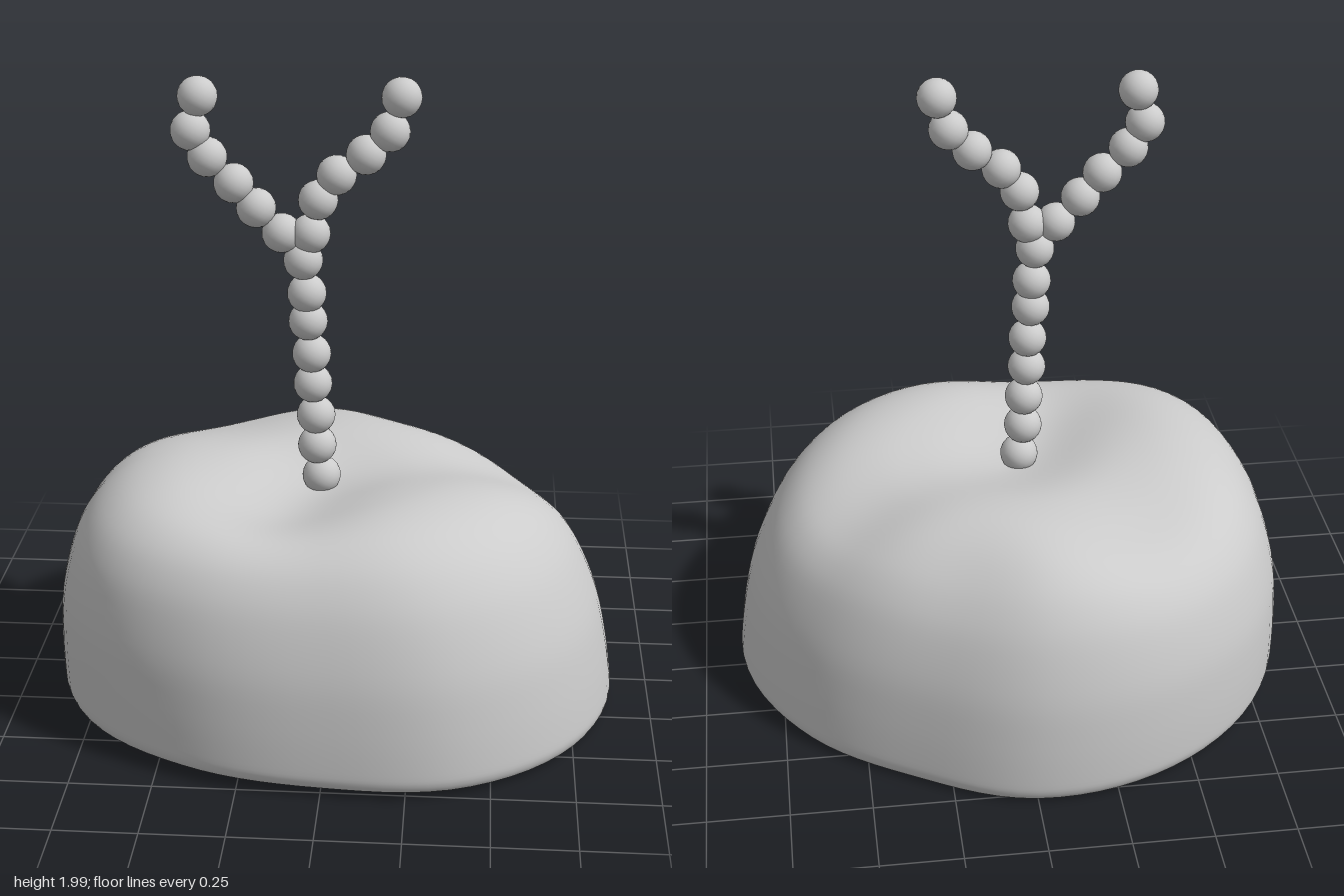
import * as THREE from 'three';
import { mergeVertices } from 'three/addons/utils/BufferGeometryUtils.js';

const material = new THREE.MeshStandardMaterial({ color: 0xcccccc });

// Plan outline: radius every 30 degrees, from +x towards +z
const radii = [0.88, 0.895, 0.86, 0.785, 0.81, 0.875, 0.875, 0.865, 0.83, 0.795, 0.742, 0.80];
const outline = new THREE.CatmullRomCurve3(
  radii.map((r) => new THREE.Vector3(r, 0, 0)), true, 'catmullrom', 0.5);
const radiusAt = (angle) => {
  const turn = angle / (2 * Math.PI);
  return outline.getPoint(turn - Math.floor(turn)).x;
};

// Hollows pressed into the top: x, z, depth, spread
const hollows = [
  [-0.05, 0.03, 0.06, 0.15],
  [-0.15, 0.33, 0.075, 0.17],
  [0.56, -0.18, 0.09, 0.18],
  [0.25, -0.03, 0.03, 0.16],
  [0.25, -0.62, 0.06, 0.16],
  [-0.4, -0.44, 0.065, 0.2],
];

function createBody() {
  // Side wall and rounded shoulder as fraction of radius against height
  const side = new THREE.SplineCurve([
    [0.985, 0.008], [0.997, 0.03], [1, 0.07], [0.99, 0.2], [0.965, 0.35], [0.91, 0.5], [0.85, 0.6],
    [0.77, 0.68], [0.66, 0.74], [0.52, 0.772], [0.35, 0.778], [0.17, 0.775], [0, 0.775],
  ].map(([r, h]) => new THREE.Vector2(r, h)));
  const profile = [new THREE.Vector2(0, 0), new THREE.Vector2(0.5, 0), new THREE.Vector2(0.9, 0),
    new THREE.Vector2(0.965, 0.002), ...side.getPoints(48)];
  profile[profile.length - 1].x = 0;

  let geometry = new THREE.LatheGeometry(profile, 80);
  const pos = geometry.attributes.position;
  for (let i = 0; i < pos.count; i++) {
    const f = Math.hypot(pos.getX(i), pos.getZ(i));
    const angle = Math.atan2(pos.getZ(i), pos.getX(i));
    const h = pos.getY(i) / 0.775;
    // Fuller shoulders at the two front corners
    const shoulder = 0.1 * Math.exp(-(((angle - 2.4) / 0.45) ** 2))
      + 0.03 * Math.exp(-(((angle - 0.8) / 0.45) ** 2));
    const r = f * radiusAt(angle) * (1 + shoulder * h * h);
    // Lean the upper part towards -x
    const x = r * Math.cos(angle) - 0.057 * h * Math.min(1, f * 2);
    const z = r * Math.sin(angle);
    let y = pos.getY(i);
    for (const [hx, hz, depth, spread] of hollows) {
      const d2 = (x - hx) ** 2 + (z - hz) ** 2;
      y -= depth * h ** 3 * Math.exp(-d2 / (2 * spread * spread));
    }
    // Slightly tilted underside
    y += (0.02 - 0.013 * x + 0.013 * z) * (1 - h);
    pos.setXYZ(i, x, y, z);
  }
  // Weld the seam and poles for continuous shading
  geometry.deleteAttribute('uv');
  geometry.deleteAttribute('normal');
  geometry = mergeVertices(geometry, 1e-5);
  geometry.computeVertexNormals();
  const body = new THREE.Mesh(geometry, material);
  body.name = 'body';
  return body;
}

// Bead centres seen from the front
const strands = {
  stem: [[-0.047, 0.728], [-0.06, 0.831], [-0.063, 0.933], [-0.072, 1.038], [-0.075, 1.137],
    [-0.085, 1.243], [-0.088, 1.333], [-0.098, 1.438]],
  leftBranch: [[-0.075, 1.523], [-0.052, 1.628], [0.003, 1.705], [0.09, 1.768], [0.16, 1.838], [0.193, 1.94]],
  rightBranch: [[-0.162, 1.523], [-0.237, 1.6], [-0.303, 1.675], [-0.38, 1.753], [-0.428, 1.832],
    [-0.405, 1.935]],
};

export function createModel() {
  const model = new THREE.Group();
  model.name = 'model';
  model.add(createBody());

  // Beaded stem forking into two branches
  const beadGeometry = new THREE.IcosahedronGeometry(0.06, 3);
  for (const [name, centres] of Object.entries(strands)) {
    const strand = new THREE.Group();
    strand.name = name;
    for (const [x, y] of centres) {
      const bead = new THREE.Mesh(beadGeometry, material);
      bead.name = 'bead';
      bead.position.set(x, y, Math.min(0.1, 0.058 + (y - 0.73) * 0.045));
      strand.add(bead);
    }
    model.add(strand);
  }
  return model;
}
